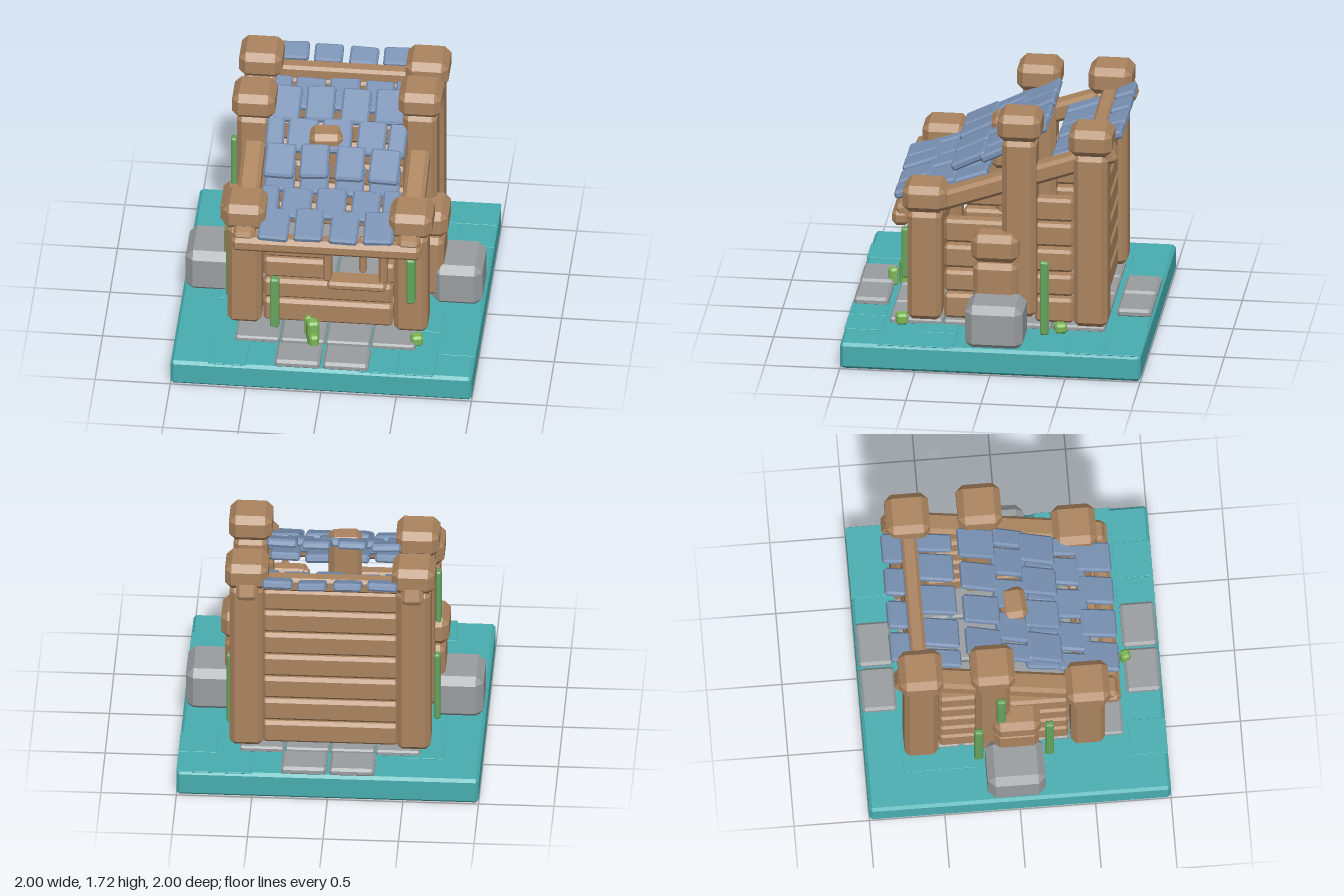
import * as THREE from 'three';
import { ConvexGeometry } from 'three/addons/geometries/ConvexGeometry.js';

const mat = (name, color) => Object.assign(new THREE.MeshStandardMaterial({ color }), { name });

export function createModel() {
  const model = new THREE.Group();
  model.name = 'hut';
  const teal = mat('teal ground', 0x48adaf);
  const wood = mat('wood', 0xab845f);
  const slate = mat('blue slate', 0x7890b2);
  const stone = mat('grey stone', 0x999d9f);
  const vine = mat('vine green', 0x66a35c);
  const leaf = mat('leaf green', 0x7cb554);

  // Box with chamfered edges: three corner points for each of eight corners
  const chamferBox = (w, h, d, c) => {
    const points = [];
    for (const x of [-1, 1]) for (const y of [-1, 1]) for (const z of [-1, 1]) {
      const half = new THREE.Vector3(x * w / 2, y * h / 2, z * d / 2);
      const inset = new THREE.Vector3(x * c, y * c, z * c);
      for (const axis of ['x', 'y', 'z']) {
        const p = half.clone().sub(inset);
        p[axis] = half[axis];
        points.push(p);
      }
    }
    return new ConvexGeometry(points);
  };

  // Adds a chamfered block given its extents [min, max] along each axis
  const block = (name, material, [x0, x1], [y0, y1], [z0, z1], c = 0.025) => {
    const mesh = new THREE.Mesh(chamferBox(x1 - x0, y1 - y0, z1 - z0, c), material);
    mesh.name = name;
    mesh.position.set((x0 + x1) / 2, (y0 + y1) / 2, (z0 + z1) / 2);
    model.add(mesh);
    return mesh;
  };

  // Ground slab and thin ground patches
  block('ground', teal, [-1, 1], [0, 0.18], [-1, 1], 0.02);
  const patches = [
    [-0.75, -0.5, 0.75, 1], [0.25, 0.5, 0.75, 1], [0.5, 0.75, 0.75, 1],
    [0.75, 1, 0.25, 0.75], [0.75, 1, -0.75, -0.5], [0.5, 1, -1, -0.75],
    [-0.75, -0.5, -0.75, -0.25], [-0.75, -0.5, 0.1, 0.25], [0.5, 0.75, 0.25, 0.5],
  ];
  for (const [x0, x1, z0, z1] of patches) {
    block('groundPatch', teal, [x0, x1], [0.178, 0.186], [z0, z1], 0.002);
  }

  // Stone floor slabs and door steps
  for (let i = 0; i < 4; i++) for (let j = 0; j < 4; j++) {
    const x = -0.6 + i * 0.3, z = -0.72 + j * 0.36;
    block('floorSlab', stone, [x + 0.004, x + 0.296], [0.17, 0.215], [z + 0.004, z + 0.356], 0.012);
  }
  for (const z of [-0.99, 0.76]) {
    block('stepStone', stone, [-0.31, -0.01], [0.17, 0.23], [z, z + 0.23], 0.018);
    block('stepStone', stone, [0.01, 0.31], [0.17, 0.23], [z, z + 0.23], 0.018);
  }

  for (const s of [-1, 1]) {
    const span = (a, b) => (s > 0 ? [a, b] : [-b, -a]);

    // Posts with heavy caps: front, middle, back
    const posts = [
      ['front', 0.48, 0.23, 1.0],
      ['middle', -0.15, 0.28, s > 0 ? 1.535 : 1.45],
      ['back', -0.625, 0.23, 1.45],
    ];
    for (const [name, z, y0, y1] of posts) {
      block(name + 'Post', wood, span(0.44, 0.665), [y0, y1], [z - 0.113, z + 0.113], 0.035);
      block(name + 'Cap', wood, span(0.41, 0.695), [y1, y1 + 0.185], [z - 0.145, z + 0.145], 0.045);
    }

    // Sloping rafter
    const rafter = block('rafter', wood, span(0.475, 0.62), [1.145, 1.275], [-0.82, 0.72], 0.025);
    rafter.position.z = -0.06;
    rafter.position.y = 1.21;
    rafter.rotation.x = 0.335;

    // Side wall planks
    const planks = [[0.23, 0.4], [0.42, 0.565], [0.59, 0.745], [0.77, 0.93], [0.95, 1.11]];
    planks.forEach(([y0, y1], i) => {
      if (i < 4) block('sidePlank', wood, span(0.49, 0.6), [y0, y1], [-0.05, 0.355], 0.02);
      block('sidePlank', wood, span(0.49, 0.6), [y0, y1], [-0.505, -0.25], 0.02);
    });

    // Buttress
    block('buttressStone', stone, span(0.655, 0.985), [0.16, 0.47], [-0.21, 0.175], 0.05);
    block('buttressPost', wood, span(0.5, 0.73), [0.22, 0.675], [-0.145, 0.15], 0.035);
    block('buttressCap', wood, span(0.48, 0.755), [0.69, 0.885], [-0.155, 0.16], 0.045);
  }

  // Back wall
  for (let i = 0; i < 7; i++) {
    const y = 0.23 + i * 0.17;
    block('backPlank', wood, [-0.45, 0.45], [y, y + 0.16], [-0.68, -0.57], 0.022);
  }

  // Front wall with a framed window
  block('frontPlank', wood, [-0.43, 0.43], [0.23, 0.4], [0.43, 0.54], 0.022);
  block('frontPlank', wood, [-0.43, 0.43], [0.415, 0.56], [0.43, 0.54], 0.022);
  block('frontPlank', wood, [-0.43, 0], [0.58, 0.73], [0.43, 0.54], 0.022);
  block('frontPlank', wood, [-0.43, 0], [0.745, 0.88], [0.43, 0.54], 0.022);
  block('frontPlank', wood, [0.38, 0.45], [0.58, 0.73], [0.43, 0.54], 0.02);
  block('frontPlank', wood, [0.22, 0.45], [0.83, 0.89], [0.43, 0.54], 0.02);
  block('windowSill', wood, [0, 0.39], [0.545, 0.605], [0.45, 0.6], 0.018);
  block('windowPost', wood, [-0.03, 0.025], [0.59, 0.89], [0.45, 0.57], 0.015);
  block('windowPost', wood, [0.34, 0.395], [0.6, 0.89], [0.45, 0.57], 0.015);
  block('windowShutter', wood, [0.2, 0.25], [0.61, 0.89], [0.42, 0.48], 0.015);
  block('frontBeam', wood, [-0.63, 0.63], [0.88, 0.99], [0.585, 0.7], 0.03);

  // Ridge beam and the stub through the roof
  block('ridgeBeam', wood, [-0.46, 0.46], [1.4, 1.5], [-0.68, -0.575], 0.02);
  const stub = block('roofStub', wood, [-0.17, 0.05], [1.08, 1.44], [-0.06, 0.115], 0.035);
  stub.rotation.y = 0.08;

  // Roof slates: [z, y, tilt, depth, staggered]
  const full = [[-0.35, 0.2], [-0.12, 0.19], [0.115, 0.19], [0.345, 0.2]];
  const staggered = [[-0.4, 0.12], [-0.22, 0.2], [0.01, 0.2], [0.24, 0.19], [0.41, 0.12]];
  const rows = [
    [0.585, 1.05, 0.34, 0.25, false],
    [0.41, 1.105, 0.34, 0.24, true],
    [0.2, 1.16, 0.34, 0.24, false],
    [0.21, 1.3, 0.46, 0.25, false],
    [0.015, 1.375, 0.46, 0.25, true],
    [-0.19, 1.485, 0.46, 0.26, false],
    [-0.465, 1.375, 0.34, 0.25, true],
    [-0.745, 1.505, 0.34, 0.14, false],
  ];
  rows.forEach(([z, y, tilt, depth, shifted], r) => {
    (shifted ? staggered : full).forEach(([x, width], i) => {
      const tile = new THREE.Mesh(chamferBox(width, 0.055, depth, 0.014), slate);
      tile.name = 'roofSlate';
      const wobble = ((i * 3 + r * 2) % 5 - 2) * 0.012;
      tile.position.set(x, y + wobble * 0.3, z);
      tile.rotation.set(tilt, wobble, wobble * 1.5);
      model.add(tile);
    });
  });

  // Vines: [x, z, bottom, top]
  const vines = [
    [-0.35, 0.565, 0.21, 0.6], [0.56, 0.61, 0.5, 0.85], [0.685, -0.325, 0.18, 0.7],
    [-0.685, 0.22, 0.2, 0.75], [-0.685, -0.25, 0.2, 0.7], [-0.685, -0.1, 0.75, 1.25],
  ];
  for (const [x, z, y0, y1] of vines) {
    const w = Math.abs(x) > 0.6 ? 0.02 : 0.03;
    block('vine', vine, [x - w, x + w], [y0, y1], [z - 0.03, z + 0.03], 0.01);
  }

  // Small ground plants: [x, z, top, half width]
  const plants = [
    [-0.085, 0.69, 0.36, 0.04], [-0.12, 0.63, 0.35, 0.025], [-0.07, 0.77, 0.3, 0.032],
    [0.6, 0.635, 0.255, 0.04], [0.63, -0.425, 0.245, 0.04],
  ];
  for (const [x, z, top, w] of plants) {
    block('plant', leaf, [x - w, x + w], [0.18, top], [z - w, z + w], 0.015).rotation.y = 0.25;
  }

  return model;
}
